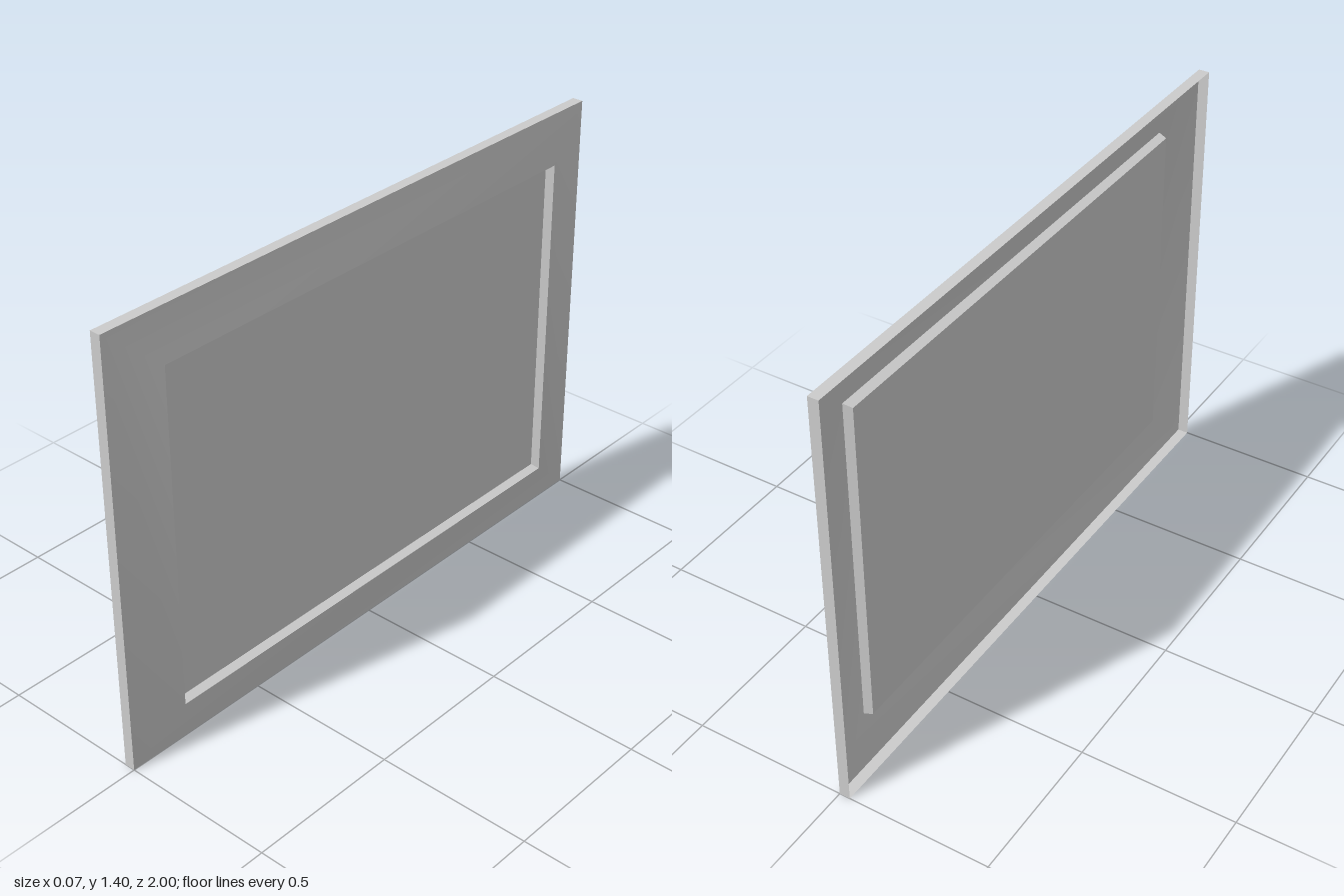
import * as THREE from 'three';

const WIDTH = 2, HEIGHT = 1.4;

// Corners of a rectangle inset from the outer outline, at depth x, counter-clockwise seen from +x
function ring(x, insetZ, insetY) {
  const z = WIDTH / 2 - insetZ, low = insetY, high = HEIGHT - insetY;
  return [[x, low, z], [x, low, -z], [x, high, -z], [x, high, z]];
}

// Band of four quads joining two rectangles
function band(a, b, smooth) {
  const index = [];
  for (let i = 0; i < 4; i++) {
    const j = (i + 1) % 4;
    index.push(i, j, j + 4, i, j + 4, i + 4);
  }
  let geometry = new THREE.BufferGeometry();
  geometry.setAttribute('position', new THREE.Float32BufferAttribute([...a, ...b].flat(), 3));
  geometry.setIndex(index);
  if (!smooth) geometry = geometry.toNonIndexed();
  geometry.computeVertexNormals();
  return geometry;
}

export function createModel() {
  const group = new THREE.Group();
  group.name = 'pictureFrame';
  const material = new THREE.MeshStandardMaterial({ color: 0xcccccc, side: THREE.DoubleSide });
  const add = (name, geometry) => {
    const mesh = new THREE.Mesh(geometry, material);
    mesh.name = name;
    group.add(mesh);
    return mesh;
  };

  const back = ring(-0.035, 0, 0);
  const edge = ring(0, 0, 0);
  const ridge = ring(0.035, 0.177, 0.148);
  const recess = ring(0.007, 0.184, 0.156);

  // Open-backed frame: straight rim, sloping face, step down to the picture
  add('outerRim', band(back, edge, false));
  add('bevelledFace', band(edge, ridge, true));
  add('innerStep', band(ridge, recess, false));

  // Flat picture panel at the bottom of the recess
  const panel = add('picturePanel', new THREE.PlaneGeometry(WIDTH - 0.368, HEIGHT - 0.312));
  panel.rotation.y = Math.PI / 2;
  panel.position.set(0.007, HEIGHT / 2, 0);

  return group;
}
